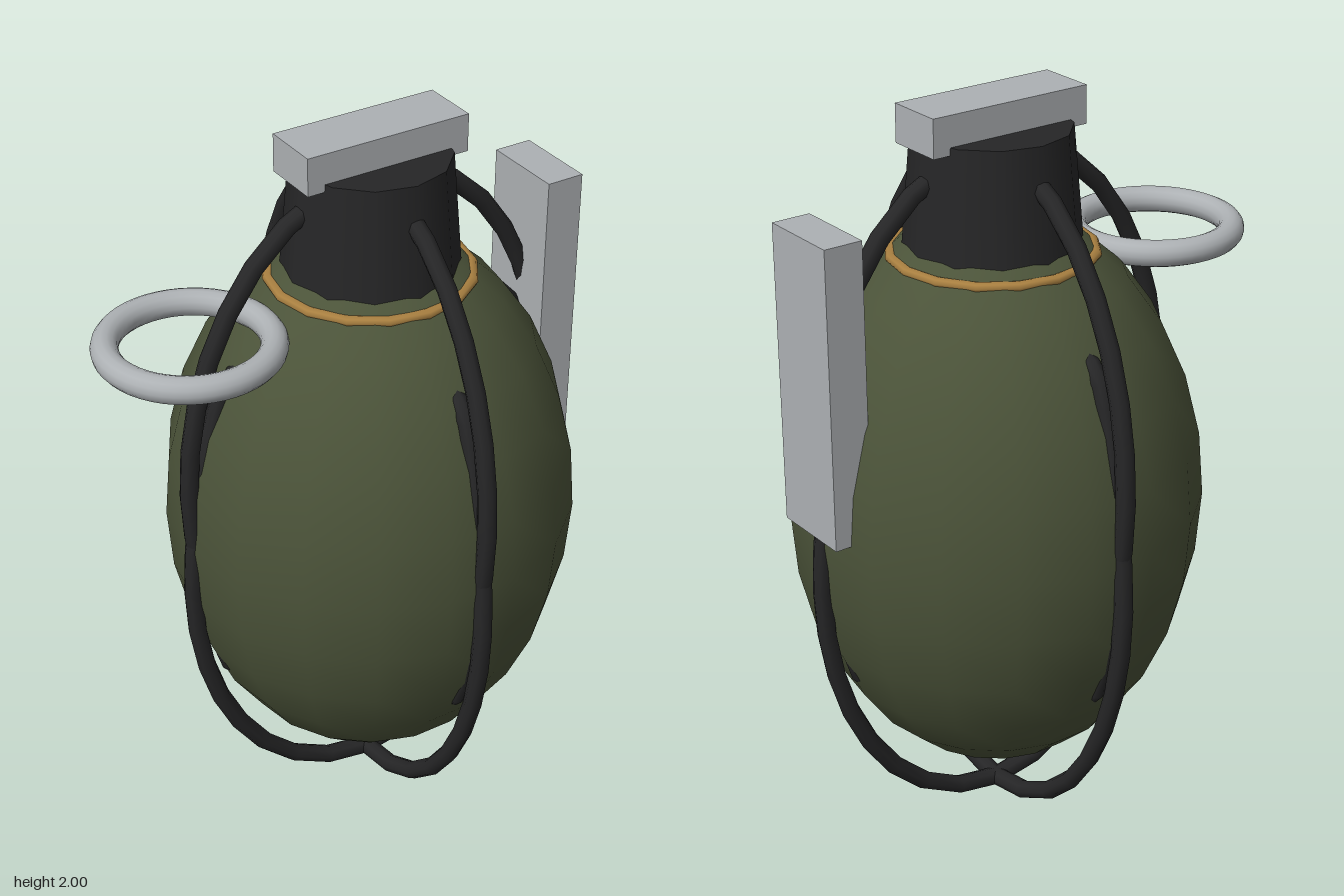
import * as THREE from 'three';

const material = (name, color) => {
  const m = new THREE.MeshStandardMaterial({ color });
  m.name = name;
  return m;
};

export function createModel() {
  const olive = material('olive paint', 0x4b5339);
  const black = material('black metal', 0x262627);
  const steel = material('light steel', 0xadb1b4);
  const brass = material('brass', 0xa87f40);

  const model = new THREE.Group();
  const axisX = 0.095; // the body axis sits off centre
  const bodyY = 0.93;

  const add = (name, geometry, mat, x, y, z = 0, parent = model) => {
    const mesh = new THREE.Mesh(geometry, mat);
    mesh.name = name;
    mesh.position.set(x, y, z);
    parent.add(mesh);
    return mesh;
  };

  // Egg-shaped body
  const body = new THREE.SphereGeometry(1, 18, 14);
  body.scale(0.545, 0.77, 0.545);
  add('body', body, olive, axisX, bodyY);

  // Tapered neck and the thin collar around its foot
  add('neck', new THREE.CylinderGeometry(0.203, 0.232, 0.34, 12), black, axisX, 1.75);
  const collar = new THREE.TorusGeometry(0.258, 0.017, 8, 16);
  collar.rotateX(Math.PI / 2);
  collar.scale(1, 0.75, 1);
  add('collar', collar, brass, axisX, 1.598);

  // Wire cage: two overlapping oval loops in each of two crossing planes
  const cage = new THREE.Group();
  cage.name = 'wireCage';
  cage.position.x = axisX;
  model.add(cage);

  const wireRadius = 0.025;
  const ovalLoop = (centreY, halfHeight) => {
    const points = [];
    for (let i = 0; i < 20; i++) {
      const a = (i / 20) * Math.PI * 2;
      points.push(new THREE.Vector3(0.54 * Math.cos(a), centreY + halfHeight * Math.sin(a), 0));
    }
    const path = new THREE.CatmullRomCurve3(points, true);
    return new THREE.TubeGeometry(path, 32, wireRadius, 8, true);
  };

  // Short wire hugging the body, its ends bent into the surface
  const hugPoints = [new THREE.Vector3(0.35, 0.49, 0)];
  for (let i = -4; i <= 4; i++) {
    const y = -i * 0.113;
    hugPoints.push(new THREE.Vector3(0.513 * Math.sqrt(1 - (y / 0.8) ** 2), y, 0));
  }
  hugPoints.push(new THREE.Vector3(0.35, -0.49, 0));
  const hug = new THREE.TubeGeometry(new THREE.CatmullRomCurve3(hugPoints), 20, wireRadius, 8);

  for (let i = 0; i < 2; i++) {
    const turn = (i * Math.PI) / 2;
    add('lowerLoop', ovalLoop(0.8, 0.775), black, 0, 0, 0, cage).rotation.y = turn;
    add('upperLoop', ovalLoop(1.1, 0.77), black, 0, 0, 0, cage).rotation.y = turn;
  }
  for (let i = 0; i < 4; i++) {
    add('bodyWire', hug, black, 0, 0.95, 0, cage).rotation.y = (i * Math.PI) / 2;
  }

  // Top bar and side lever
  add('topBar', new THREE.BoxGeometry(0.46, 0.1, 0.16), steel, axisX, 1.95);
  add('lever', new THREE.BoxGeometry(0.105, 0.79, 0.23), steel, 0.608, 1.365);

  // Pull ring lying flat
  const ring = new THREE.TorusGeometry(0.207, 0.035, 14, 48);
  ring.rotateX(Math.PI / 2);
  add('pullRing', ring, steel, -0.425, 1.545);

  return model;
}
